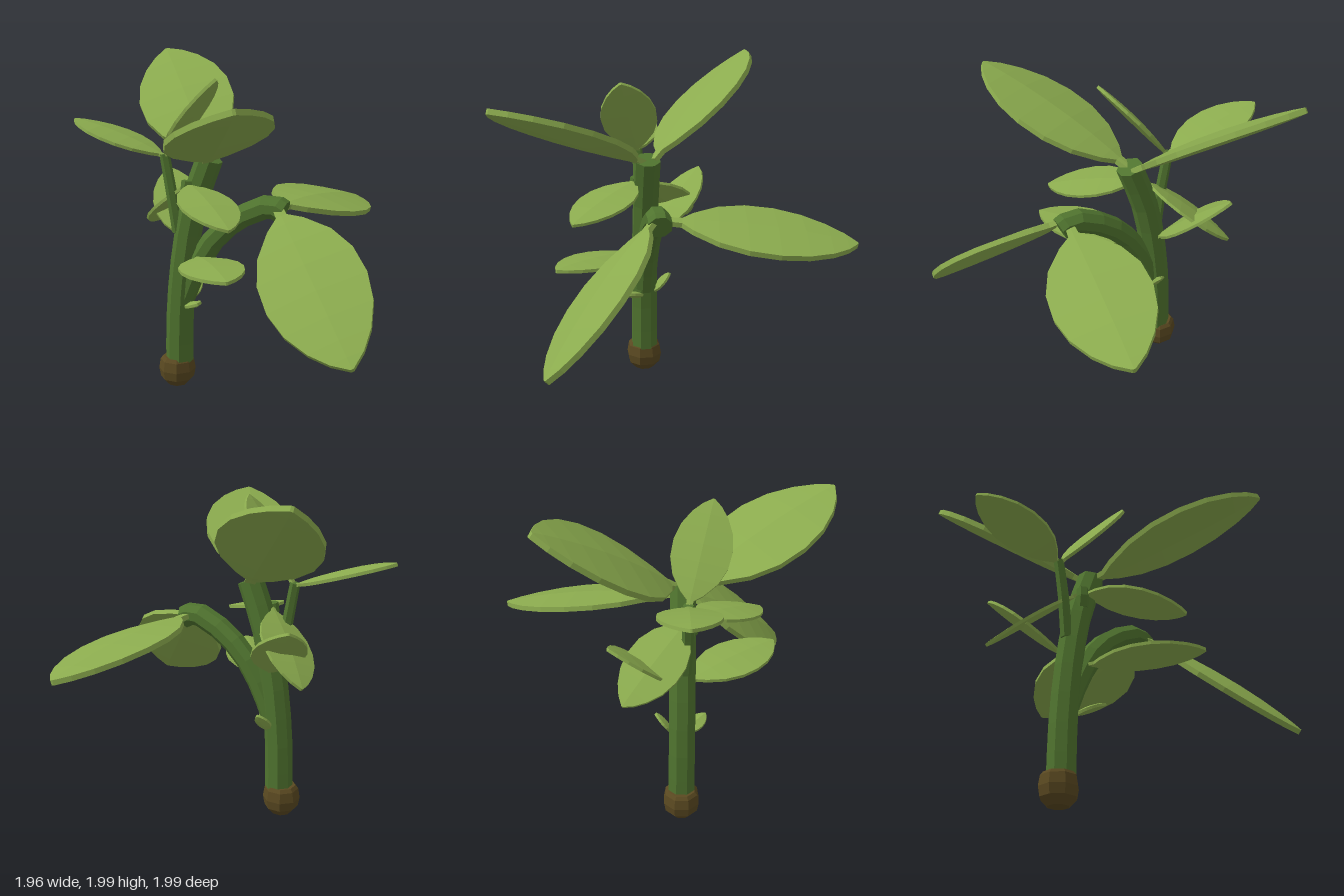
import * as THREE from 'three';

const V = (x, y, z) => new THREE.Vector3(x, y, z);

// Skin a list of equal-sized rings and close both ends
function loft(rings) {
  const n = rings[0].length, last = (rings.length - 1) * n, index = [];
  for (let i = 0; i < rings.length - 1; i++) {
    for (let j = 0; j < n; j++) {
      const a = i * n + j, b = i * n + (j + 1) % n;
      index.push(a, b, b + n, a, b + n, a + n);
    }
  }
  for (let j = 1; j < n - 1; j++) {
    index.push(0, j + 1, j, last, last + j, last + j + 1);
  }
  const geo = new THREE.BufferGeometry().setFromPoints(rings.flat());
  geo.setIndex(index);
  const flat = geo.toNonIndexed();
  flat.computeVertexNormals();
  return flat;
}

// Faceted stalk through the given points, tapering from r0 to r1
function stalk(points, r0, r1, sides, steps) {
  const curve = new THREE.CatmullRomCurve3(points.map(p => V(...p)));
  const rings = [];
  for (let i = 0; i <= steps; i++) {
    const t = i / steps, c = curve.getPoint(t), d = curve.getTangent(t);
    const u = V(0, 0, 1).cross(d).normalize(), v = d.clone().cross(u);
    const r = r0 + (r1 - r0) * t;
    rings.push(Array.from({ length: sides }, (_, j) => {
      const a = (j + 0.5) / sides * Math.PI * 2;
      return c.clone().addScaledVector(u, r * Math.cos(a)).addScaledVector(v, r * Math.sin(a));
    }));
  }
  return loft(rings);
}

// Leaf outline: distance along the leaf, half width (both relative to length)
const OUTLINE = [
  [0, 0.026], [0.07, 0.03], [0.13, 0.1], [0.26, 0.2], [0.41, 0.255],
  [0.57, 0.262], [0.72, 0.228], [0.85, 0.16], [0.94, 0.085], [1, 0.008],
];

// Thick leaf from base to tip with its upper face towards up; the midrib bulges on both faces
function leaf(base, tip, up, fat = 1) {
  const b = V(...base), d = V(...tip).sub(b), len = d.length();
  d.normalize();
  const n = V(...up);
  n.addScaledVector(d, -n.dot(d)).normalize();
  const s = n.clone().cross(d);
  const rings = OUTLINE.map(([t, w]) => {
    const x = w * len, h = len * 0.014 * fat, k = h + len * 0.085 * w * fat;
    const arch = len * 0.012 * Math.sin(Math.PI * t);
    return [[x, h], [0, k], [-x, h], [-x, -h], [0, -k], [x, -h]].map(([p, q]) =>
      b.clone().addScaledVector(d, t * len).addScaledVector(s, p).addScaledVector(n, q + arch));
  });
  return loft(rings);
}

export function createModel() {
  const mat = (name, color) => {
    const m = new THREE.MeshStandardMaterial({ color, flatShading: true });
    m.name = name;
    return m;
  };
  const leafGreen = mat('leaf green', 0x8bab4e);
  const stemGreen = mat('stem green', 0x50742f);
  const rootBrown = mat('root brown', 0x5a4921);

  const group = new THREE.Group();
  group.name = 'plant';
  const add = (name, geo, material) => {
    const mesh = new THREE.Mesh(geo, material);
    mesh.name = name;
    group.add(mesh);
    return mesh;
  };

  // Root ball
  const profile = [[0, 0.005], [0.06, 0.01], [0.102, 0.055], [0.112, 0.11], [0.102, 0.17], [0.085, 0.19], [0, 0.19]];
  const root = add('rootBall', new THREE.LatheGeometry(profile.map(p => new THREE.Vector2(...p)), 8, Math.PI / 8), rootBrown);
  root.position.set(-0.337, 0, 0.105);

  // Main stem, side branch and twig
  add('mainStem', stalk([[-0.32, 0.12, 0.105], [-0.313, 0.45, 0.105], [-0.28, 0.8, 0.105],
    [-0.215, 1.14, 0.105], [-0.11, 1.43, 0.105]], 0.084, 0.078, 8, 8), stemGreen);
  add('sideBranch', stalk([[-0.28, 0.58, 0.102], [-0.2, 0.77, 0.102], [-0.08, 0.96, 0.102],
    [0.08, 1.1, 0.102], [0.27, 1.18, 0.102], [0.34, 1.15, 0.102]], 0.066, 0.072, 8, 8), stemGreen);
  add('twig', stalk([[-0.31, 0.98, 0.12], [-0.345, 1.22, 0.13], [-0.385, 1.44, 0.13]],
    0.035, 0.03, 6, 4), stemGreen);
  add('leafNode', stalk([[-0.22, 1.19, 0.15], [-0.228, 1.25, 0.165], [-0.225, 1.3, 0.16]],
    0.04, 0.036, 6, 2), stemGreen);

  // Leaves: name, base, tip, upper face direction, thickness factor
  const leaves = [
    ['crownBackLeaf', [-0.12, 1.42, 0.07], [-0.73, 1.98, -0.62], [0.08, 0.8, 0.6]],
    ['crownFrontLeaf', [-0.12, 1.41, 0.13], [0.4, 1.82, 0.99], [-0.3, 0.85, -0.25]],
    ['branchBackLeaf', [0.3, 1.17, 0.05], [0.46, 1.03, -0.99], [0.12, 0.55, -0.06]],
    ['branchFrontLeaf', [0.31, 1.18, 0.13], [0.93, 0.56, 0.76], [0.03, 0.7, 0.7]],
    ['twigOuterLeaf', [-0.37, 1.42, 0.13], [-0.98, 1.61, 0.13], [0.3, 0.95, 0]],
    ['twigInnerLeaf', [-0.38, 1.42, 0.13], [0, 1.89, 0.27], [-0.77, 0.63, 0]],
    ['nodeFrontLeaf', [-0.23, 1.28, 0.15], [0.2, 1.14, 0.57], [0.15, 1, 0.1]],
    ['nodeBackLeaf', [-0.23, 1.28, 0.14], [-0.61, 0.95, -0.22], [-0.5, 0.75, -0.04]],
    ['lowerBackLeaf', [-0.27, 0.9, 0.06], [-0.56, 1.27, -0.29], [0.33, 0.75, 0.55]],
    ['lowerFrontLeaf', [-0.18, 0.84, 0.14], [0.23, 0.89, 0.67], [0, 1, 0.05]],
    ['frontBud', [-0.25, 0.53, 0.12], [-0.13, 0.59, 0.25], [-0.1, 1, 0.2], 3],
    ['backBud', [-0.27, 0.54, 0.06], [-0.25, 0.67, -0.05], [0.1, 0.6, 0.7], 3],
  ];
  for (const [name, base, tip, up, fat] of leaves) {
    add(name, leaf(base, tip, up, fat), leafGreen);
  }
  return group;
}
